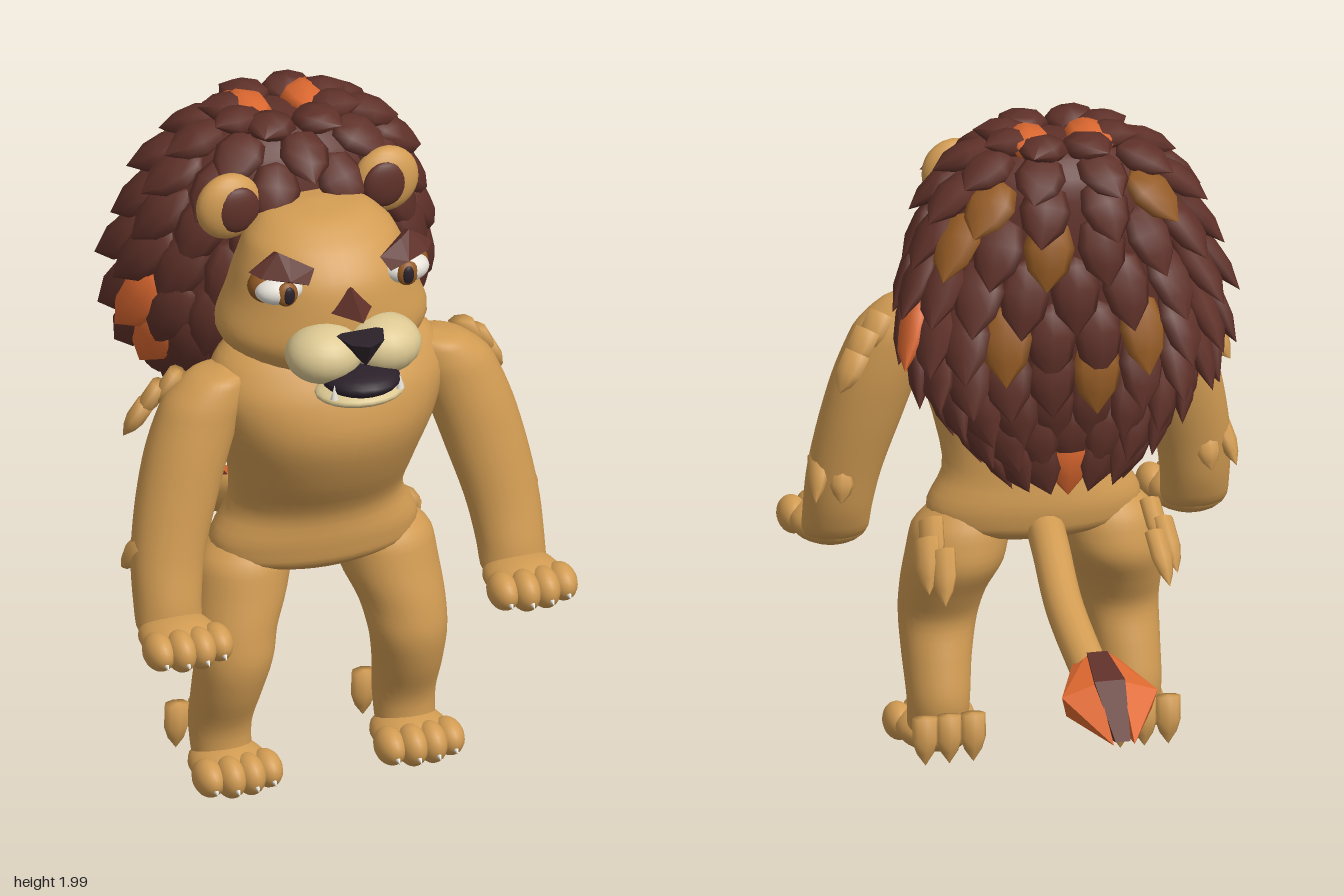
import * as THREE from 'three';
import { mergeGeometries, mergeVertices } from 'three/addons/utils/BufferGeometryUtils.js';
import { ConvexGeometry } from 'three/addons/geometries/ConvexGeometry.js';

const V = (x, y, z) => new THREE.Vector3(x, y, z);
const paint = (name, color) => {
  const m = new THREE.MeshStandardMaterial({ color });
  m.name = name;
  return m;
};

// Smooth surface through horizontal rings [x, y, z, radiusX, radiusZ], top to bottom;
// frontPower below 1 squares off the front half
function ringSurface(sections, frontPower = 1) {
  const centre = new THREE.CatmullRomCurve3(sections.map(s => V(s[0], s[1], s[2])));
  const radius = new THREE.CatmullRomCurve3(sections.map(s => V(s[3], s[4], 0)));
  return (t, a) => {
    const c = centre.getPoint(t), r = radius.getPoint(t);
    const power = Math.sin(a) > 0 ? frontPower : 1;
    const bend = v => Math.sign(v) * Math.abs(v) ** power;
    return c.add(V(Math.max(r.x, 0) * bend(-Math.cos(a)), 0, Math.max(r.y, 0) * bend(Math.sin(a))));
  };
}

function skin(surface, rows = 36) {
  const g = new THREE.SphereGeometry(1, 32, rows);
  const { position, uv } = g.attributes;
  for (let i = 0; i < position.count; i++) {
    const p = surface(1 - uv.getY(i), uv.getX(i) * Math.PI * 2);
    position.setXYZ(i, p.x, p.y, p.z);
  }
  g.deleteAttribute('uv');
  g.deleteAttribute('normal');
  const merged = mergeVertices(g, 1e-4);
  merged.computeVertexNormals();
  return merged;
}

// Pointed lock of fur growing from base along dir, its flat side facing normal
const lockProfile = [[0, 0], [0.36, 0.1], [0.5, 0.4], [0.4, 0.7], [0, 1]];
const tuftProfile = [[0, 0], [0.5, 0.02], [0.5, 0.5], [0.34, 0.75], [0, 1]];
function leaf(profile, base, dir, normal, len, width, thick) {
  const g = new THREE.LatheGeometry(profile.map(p => new THREE.Vector2(...p)), 8);
  const y = dir.clone().normalize();
  const x = y.clone().cross(normal).normalize();
  const z = x.clone().cross(y);
  g.scale(width, len, thick);
  return g.applyMatrix4(new THREE.Matrix4().makeBasis(x, y, z).setPosition(base));
}

export function createModel() {
  const tan = paint('tan fur', 0xd29c53), dark = paint('dark brown mane', 0x5f3129);
  const orange = paint('orange lock', 0xdc6830), brown = paint('mid brown lock', 0x935a24);
  const cream = paint('cream muzzle', 0xdcc892), black = paint('near black', 0x2a2029);
  const white = paint('white', 0xeeeae0);
  const root = new THREE.Group();
  root.name = 'lion';

  const add = (name, geometry, material) => {
    const m = new THREE.Mesh(geometry, material);
    m.name = name;
    root.add(m);
    return m;
  };
  const ball = (name, mat, p, r) => {
    const m = add(name, new THREE.SphereGeometry(1, 20, 14), mat);
    m.position.set(...p);
    m.scale.set(...r);
    return m;
  };
  const limb = (name, sections, s = 1) =>
    add(name, skin(ringSurface(sections.map(([x, ...rest]) => [x * s, ...rest]))), tan);
  const hull = (name, mat, pts) => add(name, new ConvexGeometry(pts.map(p => V(...p))), mat);

  // Torso and head
  limb('torso', [
    [0, 1.5, 0.36, 0, 0], [0, 1.46, 0.36, 0.2, 0.12], [0, 1.38, 0.37, 0.32, 0.18], [0, 1.28, 0.38, 0.355, 0.225],
    [0, 1.16, 0.38, 0.325, 0.242], [0, 1.0, 0.35, 0.275, 0.205], [0, 0.87, 0.3, 0.26, 0.172],
    [0, 0.77, 0.29, 0.31, 0.17], [0, 0.71, 0.29, 0.31, 0.16], [0, 0.675, 0.29, 0.2, 0.12], [0, 0.66, 0.29, 0, 0]]);
  limb('head', [
    [0, 1.795, 0.3, 0, 0], [0, 1.78, 0.31, 0.14, 0.11], [0, 1.72, 0.335, 0.215, 0.182], [0, 1.64, 0.35, 0.25, 0.226],
    [0, 1.56, 0.35, 0.275, 0.245], [0, 1.46, 0.35, 0.31, 0.25], [0, 1.38, 0.35, 0.265, 0.22],
    [0, 1.34, 0.35, 0.17, 0.15], [0, 1.33, 0.35, 0, 0]]);

  // Four-toed paw with small claws
  const paw = (name, x, y, z) => {
    ball(name + 'Pad', tan, [x, y, z], [0.113, 0.061, 0.13]);
    for (let i = 0; i < 4; i++) {
      const mid = i === 1 || i === 2, tx = x + (i - 1.5) * 0.059;
      const tz = z + (mid ? 0.09 : 0.072);
      ball(name + 'Toe', tan, [tx, y - 0.002, tz], [0.044, mid ? 0.06 : 0.054, 0.068]);
      const claw = add(name + 'Claw', new THREE.ConeGeometry(0.012, 0.03, 8), white);
      claw.position.set(tx, y - 0.02, tz + 0.066);
      claw.rotation.x = Math.PI * 0.65;
    }
  };

  for (const s of [1, -1]) {
    const side = s > 0 ? 'left' : 'right';
    // Limbs
    limb(side + 'Arm', [
      [0.31, 1.37, 0.4, 0, 0], [0.33, 1.35, 0.4, 0.08, 0.08], [0.375, 1.27, 0.4, 0.125, 0.105],
      [0.425, 1.15, 0.41, 0.125, 0.108], [0.47, 1.0, 0.43, 0.12, 0.102], [0.51, 0.83, 0.46, 0.108, 0.092],
      [0.522, 0.72, 0.485, 0.1, 0.09], [0.525, 0.63, 0.51, 0.095, 0.075], [0.525, 0.575, 0.53, 0, 0]], s);
    limb(side + 'Leg', [
      [0.18, 0.82, 0.28, 0, 0], [0.19, 0.78, 0.28, 0.09, 0.08], [0.213, 0.7, 0.285, 0.143, 0.13],
      [0.232, 0.6, 0.29, 0.142, 0.146], [0.256, 0.5, 0.325, 0.124, 0.13], [0.265, 0.41, 0.348, 0.113, 0.113],
      [0.275, 0.3, 0.32, 0.1, 0.11], [0.28, 0.18, 0.28, 0.09, 0.095], [0.28, 0.08, 0.29, 0.085, 0.08],
      [0.28, 0.03, 0.29, 0, 0]], s);
    paw(side + 'Hand', s * 0.525, 0.63, 0.58);
    paw(side + 'Foot', s * 0.277, 0.07, 0.335);

    // Ears
    ball(side + 'Ear', tan, [s * 0.24, 1.785, 0.245], [0.098, 0.1, 0.052]);
    ball(side + 'InnerEar', dark, [s * 0.225, 1.785, 0.278], [0.066, 0.07, 0.025]);

    // Eyes and brows
    ball(side + 'EyeLid', brown, [s * 0.2, 1.64, 0.48], [0.073, 0.056, 0.055]);
    ball(side + 'EyeWhite', white, [s * 0.192, 1.638, 0.512], [0.072, 0.043, 0.057]);
    ball(side + 'Iris', brown, [s * 0.184, 1.638, 0.555], [0.033, 0.037, 0.018]);
    ball(side + 'Pupil', black, [s * 0.182, 1.638, 0.567], [0.018, 0.027, 0.009]);
    hull(side + 'Brow', dark, [
      [0.1, 1.705, 0.555], [0.125, 1.665, 0.575], [0.18, 1.685, 0.575], [0.255, 1.69, 0.535], [0.28, 1.7, 0.5],
      [0.23, 1.74, 0.515], [0.2, 1.76, 0.525], [0.17, 1.745, 0.54], [0.12, 1.68, 0.52], [0.24, 1.695, 0.475],
      [0.2, 1.75, 0.495]].map(([x, y, z]) => [x * s, y, z]));

    // Muzzle half and fang
    ball(side + 'Muzzle', cream, [s * 0.09, 1.457, 0.6], [0.112, 0.085, 0.105]);
    const fang = add(side + 'Fang', new THREE.ConeGeometry(0.012, 0.045, 8), white);
    fang.position.set(s * 0.1, 1.385, 0.71);

    // Loose tufts on shoulder, elbow, hip and heel: base, direction, facing, length, width
    const tufts = [
      ...[[0.43, 1.34, 0.34], [0.475, 1.3, 0.32], [0.51, 1.24, 0.3]].map(b => [b, [0.45, -0.8, -0.2], [0.7, 0.3, -0.6], 0.13, 0.085]),
      [[0.585, 0.88, 0.46], [0.2, -0.75, -0.6], [1, 0.1, -0.3], 0.15, 0.08],
      [[0.53, 0.86, 0.4], [0.1, -0.85, -0.3], [0.2, 0.2, -1], 0.11, 0.07],
      ...[[0.32, 0.75, 0.21], [0.345, 0.71, 0.16], [0.31, 0.69, 0.11]].map(b => [b, [0.1, -0.72, -0.6], [0.8, 0.3, -0.5], 0.17, 0.085]),
      ...[0.215, 0.285, 0.355].map(x => [[x, 0.178, 0.138], [0, -1, -0.06], [0, 0, -1], 0.145, 0.075])];
    add(side + 'FurTufts', mergeGeometries(tufts.map(([b, d, n, len, width]) =>
      leaf(tuftProfile, V(b[0] * s, b[1], b[2]), V(d[0] * s, d[1], d[2]), V(n[0] * s, n[1], n[2]), len, width, 0.055))), tan);

    // Bright crown lock
    add(side + 'CrownLock', leaf(lockProfile, V(s * 0.1, 1.955, -0.1), V(-s * 0.1, 0.03, 1), V(0, 1, 0),
      0.22, 0.14, 0.08), orange);
  }

  // Nose, mouth and chin
  hull('noseBridge', dark, [[-0.08, 1.57, 0.56], [0.08, 1.57, 0.56], [0, 1.64, 0.58], [0, 1.57, 0.68]]);
  hull('nose', black, [[-0.075, 1.53, 0.64], [0.075, 1.53, 0.64], [-0.05, 1.525, 0.715],
    [0.05, 1.525, 0.715], [0, 1.52, 0.737], [0, 1.445, 0.7], [0, 1.445, 0.64]]);
  ball('mouth', black, [0, 1.392, 0.66], [0.114, 0.04, 0.112]);
  ball('chin', cream, [0, 1.35, 0.65], [0.132, 0.031, 0.105]);

  // Mane core
  const rings = [
    [1.965, 0.03, 0, 0], [1.945, 0.03, 0.17, 0.12], [1.86, 0.03, 0.285, 0.195], [1.7, 0.035, 0.36, 0.22],
    [1.5, 0.04, 0.405, 0.22], [1.35, 0.03, 0.385, 0.2], [1.22, 0.0, 0.31, 0.14], [1.1, -0.03, 0.22, 0.085],
    [1.02, -0.05, 0.12, 0.04], [1.0, -0.055, 0, 0]].map(([y, z, rx, rz]) => [0, y, z, rx, rz]);
  const mane = ringSurface(rings, 0.9);
  add('maneCore', skin(mane), dark);

  // Overlapping locks in staggered rows, swept out and back at the sides
  const locks = [];
  const rows = 10;
  for (let row = 0; row < rows; row++) {
    const t = 0.05 + row * 0.076;
    const n = Math.max(8, Math.round(Math.abs(mane(t, 0).x) * 46));
    for (let i = 0; i < n; i++) {
      const a = (i + (row % 2 ? 0 : 0.5)) / n * Math.PI * 2 + Math.PI / 2;
      const p = mane(t, a);
      const down = mane(t + 0.03, a).sub(p).normalize();
      const around = mane(t, a + 0.04).sub(mane(t, a - 0.04));
      const normal = down.clone().cross(around).normalize();
      if (normal.dot(V(p.x, 0.02, p.z)) < 0) normal.negate();
      const sweep = Math.cos(a) ** 2 * Math.min(1, row / 4, (rows - row) / 4);
      down.addScaledVector(normal, 0.16 + 0.26 * sweep).add(V(0, 0, -0.85 * sweep));
      const len = 0.16 + Math.min(row, 4) * 0.018 + 0.03 * sweep;
      locks.push({ p, mat: dark, g: leaf(lockProfile, p, down, normal, len, 0.148, 0.075) });
    }
  }
  // Coloured locks nearest to chosen spots
  const accents = [
    [orange, [[-0.41, 1.56, 0.09], [-0.4, 1.46, 0.12], [0.41, 1.56, 0.06], [0.03, 1.16, -0.12]]],
    [brown, [[-0.22, 1.85, -0.1], [0.24, 1.85, -0.1], [-0.2, 1.6, -0.16], [0.2, 1.58, -0.16], [0.06, 1.72, -0.18],
      [0.3, 1.74, -0.08], [-0.06, 1.42, -0.18]]]];
  for (const [mat, spots] of accents) for (const q of spots) {
    const target = V(...q);
    locks.reduce((a, b) => (a.p.distanceTo(target) < b.p.distanceTo(target) ? a : b)).mat = mat;
  }
  for (const mat of [dark, orange, brown])
    add('maneLocks', mergeGeometries(locks.filter(l => l.mat === mat).map(l => l.g)), mat);

  // Tail with a faceted tuft
  add('tail', new THREE.TubeGeometry(new THREE.CatmullRomCurve3([V(0, 0.71, 0.14), V(0.01, 0.685, 0.04),
    V(0.027, 0.6, -0.18), V(0.018, 0.49, -0.48)]), 24, 0.055, 16), tan);
  for (const s of [1, -1])
    hull('tailTuftSide', orange, [[0.025, 0.56, -0.44], [0.065, 0.53, -0.43], [0.05, 0.455, -0.45], [0.14, 0.49, -0.6],
      [0.125, 0.43, -0.59], [0.035, 0.525, -0.6], [0.03, 0.39, -0.58], [0.03, 0.398, -0.77]]
      .map(([x, y, z]) => [x * s, y, z]));
  hull('tailTuftMiddle', dark, [[-0.03, 0.562, -0.45], [0.03, 0.562, -0.45], [-0.045, 0.53, -0.6], [0.045, 0.53, -0.6],
    [-0.045, 0.385, -0.59], [0.045, 0.385, -0.59], [-0.022, 0.402, -0.755], [0.022, 0.402, -0.755], [0, 0.45, -0.46]]);
  return root;
}
